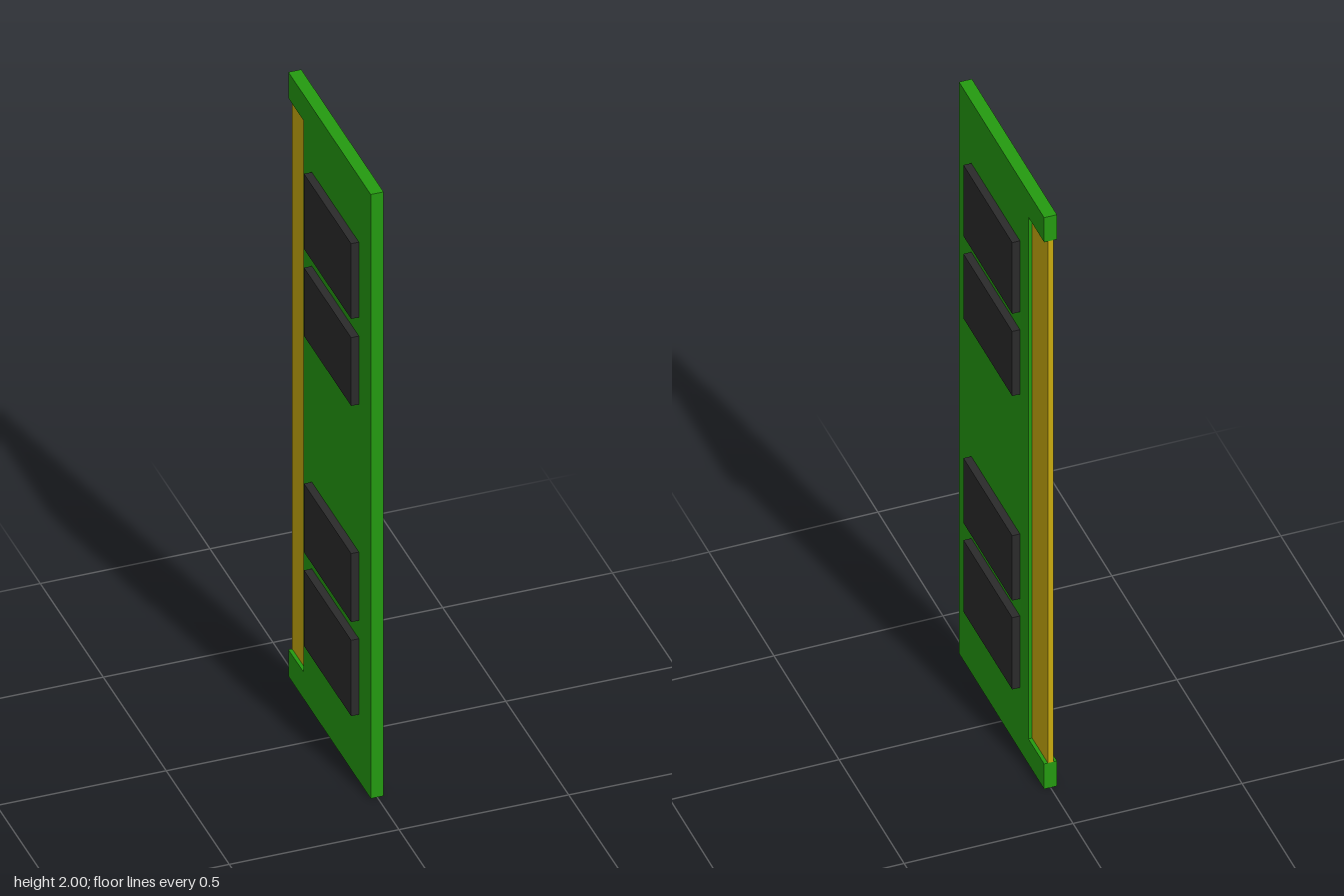
import * as THREE from 'three';

const material = (color) => new THREE.MeshStandardMaterial({ color, flatShading: true });

// Box given by its minimum and maximum corners
function block(name, mat, [x0, y0, z0], [x1, y1, z1]) {
  const mesh = new THREE.Mesh(new THREE.BoxGeometry(x1 - x0, y1 - y0, z1 - z0), mat);
  mesh.position.set((x0 + x1) / 2, (y0 + y1) / 2, (z0 + z1) / 2);
  mesh.name = name;
  return mesh;
}

export function createModel() {
  const group = new THREE.Group();
  group.name = 'memoryModule';
  const green = material(0x249a10);
  const gold = material(0xc9aa0e);
  const black = material(0x2b2b2b);

  const halfBoard = 0.019, halfDepth = 0.327;
  const slotBottom = 0.088, slotTop = 1.914, slotFront = -0.206;

  // Circuit board: outline in z and y with a long notch in the rear edge
  const outline = new THREE.Shape([
    [-halfDepth, 0], [halfDepth, 0], [halfDepth, 2], [-halfDepth, 2],
    [-halfDepth, slotTop], [slotFront, slotTop], [slotFront, slotBottom], [-halfDepth, slotBottom],
  ].map(([z, y]) => new THREE.Vector2(z, y)));
  const boardGeometry = new THREE.ExtrudeGeometry(outline, { depth: 2 * halfBoard, bevelEnabled: false });
  boardGeometry.translate(0, 0, -halfBoard).rotateY(-Math.PI / 2);
  const board = new THREE.Mesh(boardGeometry, green);
  board.name = 'circuitBoard';
  group.add(board);

  // Thin contact strip, recessed on both faces
  group.add(block('contactStrip', gold, [-0.008, slotBottom, -halfDepth], [0.008, slotTop, slotFront]));

  // Memory chips, the same four on each face
  const chipRows = [[0.22, 0.471], [0.531, 0.758], [1.247, 1.473], [1.535, 1.784]];
  for (const [bottom, top] of chipRows) {
    group.add(block('leftChip', black, [halfBoard, bottom, -0.141], [0.042, top, 0.233]));
    group.add(block('rightChip', black, [-0.042, bottom, -0.141], [-halfBoard, top, 0.233]));
  }
  return group;
}
